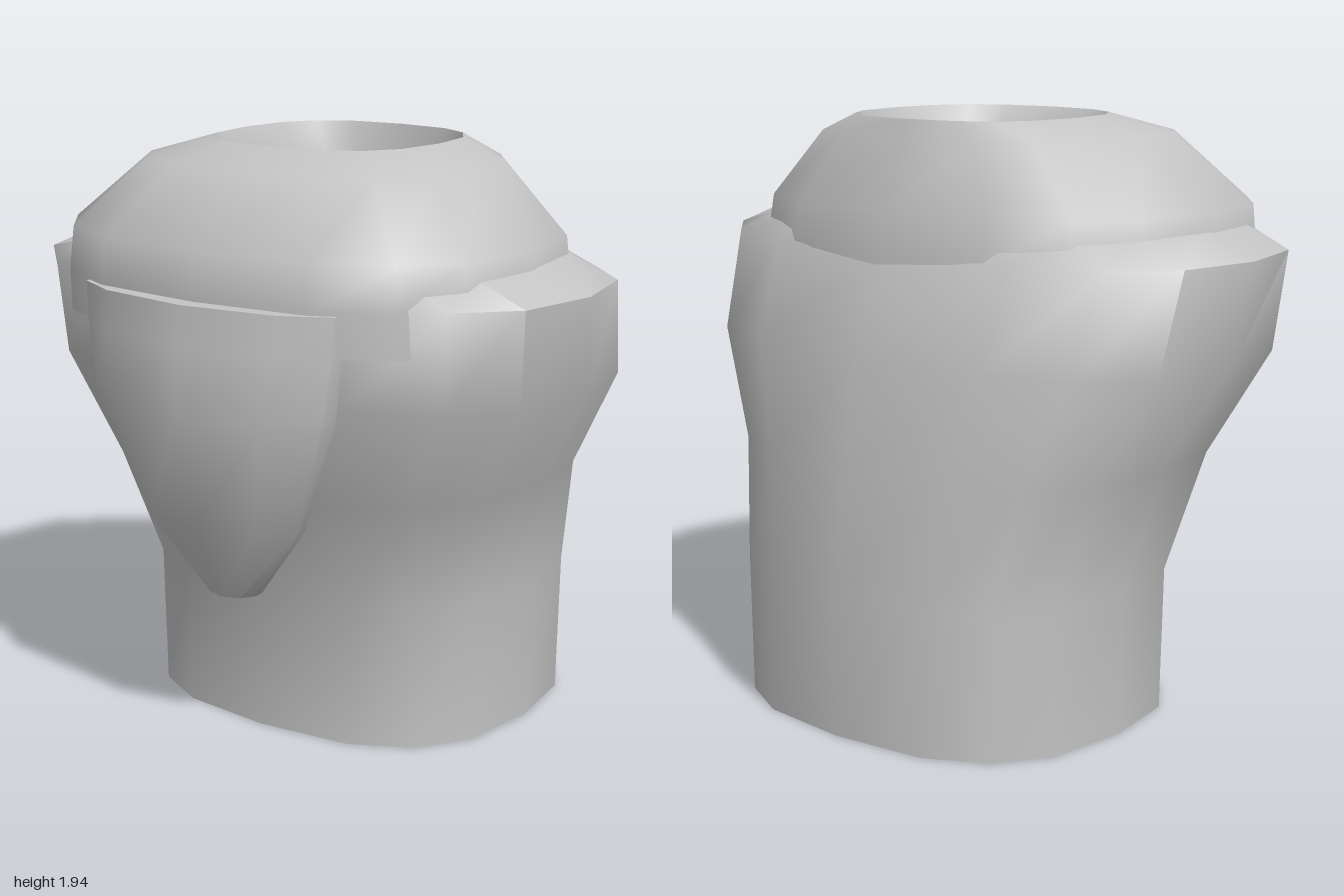
import * as THREE from 'three';
import { toCreasedNormals } from 'three/addons/utils/BufferGeometryUtils.js';

const SEGMENTS = 16;

// Rounded-oval ring: height, half width, back z, front z
function oval([y, halfWidth, back, front]) {
  const soften = (v) => Math.sign(v) * Math.pow(Math.abs(v), 0.76);
  const ring = [];
  for (let i = 0; i < SEGMENTS; i++) {
    const t = (i / SEGMENTS) * Math.PI * 2;
    ring.push([
      halfWidth * soften(Math.cos(t)),
      y,
      (back + front) / 2 + ((front - back) / 2) * soften(Math.sin(t)),
    ]);
  }
  return ring;
}

// Skin closed rings into a surface, optionally capping both ends
function loft(rings, capped, crease) {
  const n = rings[0].length;
  const index = [];
  for (let j = 0; j < rings.length - 1; j++) {
    for (let i = 0; i < n; i++) {
      const a = j * n + i;
      const b = j * n + ((i + 1) % n);
      index.push(a, a + n, b, b, a + n, b + n);
    }
  }
  if (capped) {
    const top = (rings.length - 1) * n;
    for (let i = 1; i < n - 1; i++) {
      index.push(0, i, i + 1, top, top + i + 1, top + i);
    }
  }
  const geometry = new THREE.BufferGeometry();
  geometry.setAttribute('position', new THREE.Float32BufferAttribute(rings.flat(2), 3));
  geometry.setIndex(index);
  return toCreasedNormals(geometry, crease);
}

export function createModel() {
  const group = new THREE.Group();
  const grey = new THREE.MeshStandardMaterial({ color: 0xc4c4c4, side: THREE.DoubleSide });
  grey.name = 'plain grey';

  const add = (name, rings, capped = false, crease = 1.2) => {
    const mesh = new THREE.Mesh(loft(rings, capped, crease), grey);
    mesh.name = name;
    group.add(mesh);
  };

  // Torso, open at the bottom, closing in to the neck hole under the collar
  add('torso', [
    [0, 0.68, -0.8, 0.375],
    [0.48, 0.69, -0.8, 0.38],
    [0.86, 0.77, -0.745, 0.52],
    [1.21, 0.97, -0.69, 0.61],
    [1.53, 1.0, -0.58, 0.62],
    [1.61, 0.8, -0.53, 0.6],
    [1.7, 0.5, -0.45, 0.35],
    [1.7, 0.32, -0.4, 0.18],
    [1.62, 0.26, -0.34, 0.12],
  ].map(oval));

  // Collar that rests over the shoulders
  add('collar', [
    [1.38, 0.76, -0.55, 0.58],
    [1.38, 0.83, -0.6, 0.7],
    [1.52, 0.83, -0.59, 0.705],
    [1.66, 0.82, -0.56, 0.685],
    [1.88, 0.58, -0.475, 0.49],
    [1.94, 0.39, -0.45, 0.3],
  ].map(oval));

  // Inner wall of the neck opening
  add('neckLining', [
    [1.94, 0.39, -0.45, 0.3],
    [1.84, 0.34, -0.43, 0.21],
    [1.7, 0.32, -0.4, 0.18],
  ].map(oval));

  // Tapered chest plate: height, half width, centre z, shoulder z, edge z, back z
  const plateRows = [
    [0.52, 0.09, 0.585, 0.565, 0.52, 0.485],
    [0.78, 0.3, 0.715, 0.68, 0.585, 0.54],
    [1.17, 0.45, 0.805, 0.765, 0.65, 0.58],
    [1.38, 0.48, 0.785, 0.74, 0.645, 0.59],
    [1.51, 0.49, 0.765, 0.72, 0.64, 0.6],
  ];
  add('chestPlate', plateRows.map(([y, w, centre, shoulder, edge, back]) => [
    [w, y, edge],
    [w * 0.68, y, shoulder],
    [0, y, centre],
    [-w * 0.68, y, shoulder],
    [-w, y, edge],
    [-w, y, back],
    [w, y, back],
  ]), true, 0.9);

  return group;
}
